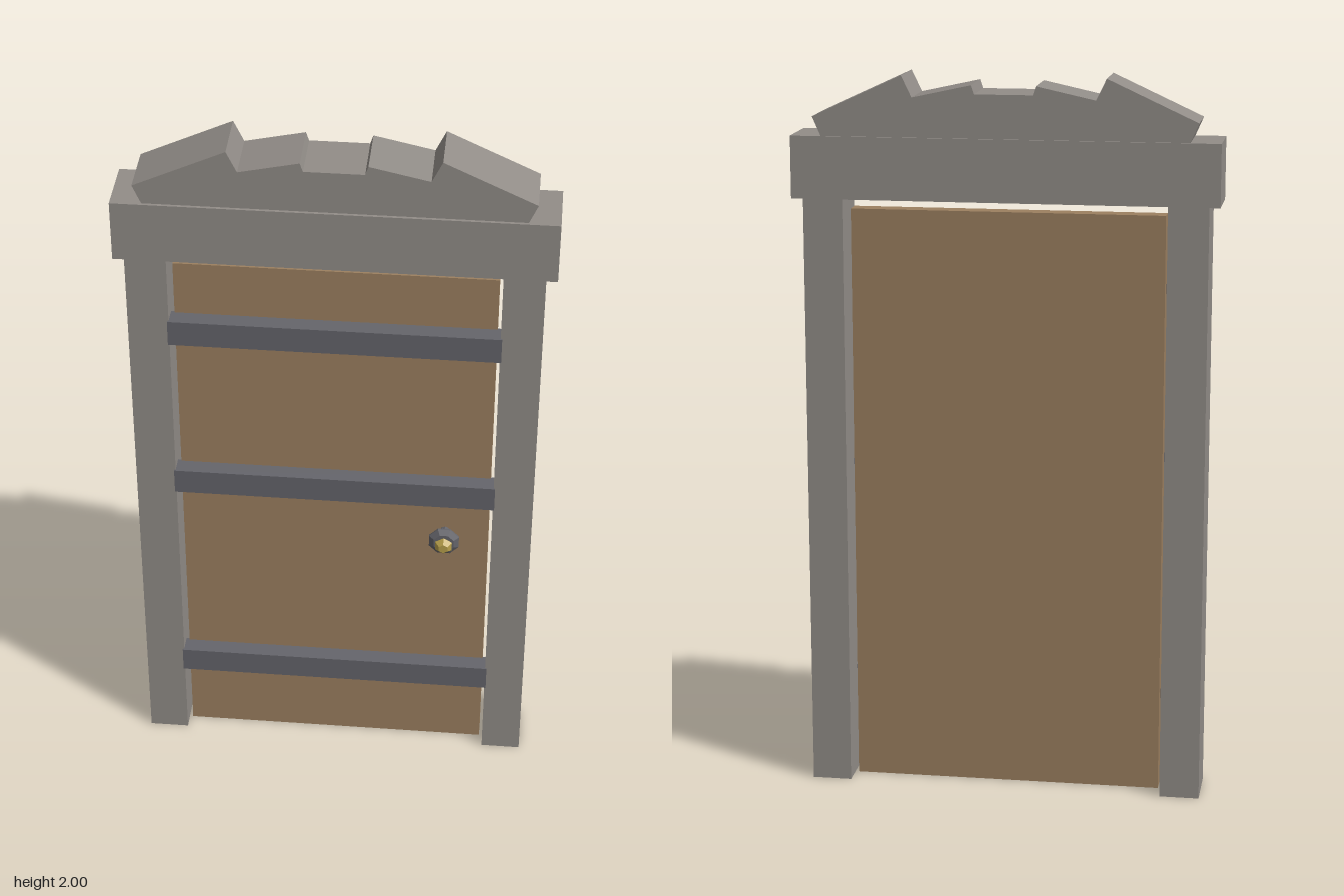
import * as THREE from 'three';

const material = (name, color) => {
  const m = new THREE.MeshStandardMaterial({ color });
  m.name = name;
  return m;
};

export function createModel() {
  const model = new THREE.Group();
  model.name = 'door';
  const stone = material('stone', 0x928d88);
  const wood = material('wood', 0x9c8060);
  const iron = material('iron', 0x65656b);
  const brass = material('brass', 0xb8a04c);

  const add = (parent, name, geometry, mat) => {
    const mesh = new THREE.Mesh(geometry, mat);
    mesh.name = name;
    parent.add(mesh);
    return mesh;
  };
  // Box given by its extents
  const box = (name, mat, x0, x1, y0, y1, z0, z1) => {
    const mesh = add(model, name, new THREE.BoxGeometry(x1 - x0, y1 - y0, z1 - z0), mat);
    mesh.position.set((x0 + x1) / 2, (y0 + y1) / 2, (z0 + z1) / 2);
  };

  // Frame
  box('rightPost', stone, -0.55, -0.44, 0, 1.67, -0.092, 0.062);
  box('leftPost', stone, 0.44, 0.55, 0, 1.67, -0.092, 0.062);
  box('lintel', stone, -0.58, 0.58, 1.665, 1.835, -0.103, 0.066);

  // Broken, stepped pediment above the lintel
  const half = [[0.495, 1.83], [0.52, 1.887], [0.275, 2], [0.247, 1.942], [0.087, 1.977], [0.079, 1.953]];
  const outline = [...half, ...half.map(([x, y]) => [-x, y]).reverse()];
  const shape = new THREE.Shape(outline.map(([x, y]) => new THREE.Vector2(x, y)));
  const crown = new THREE.ExtrudeGeometry(shape, { depth: 0.155, bevelEnabled: false });
  add(model, 'pediment', crown.translate(0, 0, -0.097), stone);

  // Door leaf and its iron straps
  box('doorPanel', wood, -0.43, 0.43, 0, 1.63, -0.03, 0.02);
  for (const y of [0.235, 0.9, 1.4]) box('strap', iron, -0.444, 0.444, y, y + 0.074, 0.015, 0.067);

  // Handle, each ring lathed along z
  const handle = new THREE.Group();
  handle.name = 'handle';
  handle.position.set(0.308, 0.78, 0);
  model.add(handle);
  const turned = (name, mat, sides, points) => {
    const profile = points.map(([r, z]) => new THREE.Vector2(r, z));
    const g = new THREE.LatheGeometry(profile, sides).toNonIndexed();
    g.rotateX(Math.PI / 2);
    g.computeVertexNormals();
    return add(handle, name, g, mat);
  };
  turned('handleStem', iron, 8, [[0.014, 0.015], [0.014, 0.068]]);
  turned('handlePlate', iron, 8, [[0, 0.064], [0.045, 0.064], [0.045, 0.069], [0.03, 0.079], [0, 0.079]]).rotation.z = Math.PI / 8;
  turned('knob', brass, 6, [[0, 0.074], [0.016, 0.074], [0.027, 0.089], [0.014, 0.103], [0, 0.103]]);

  return model;
}
